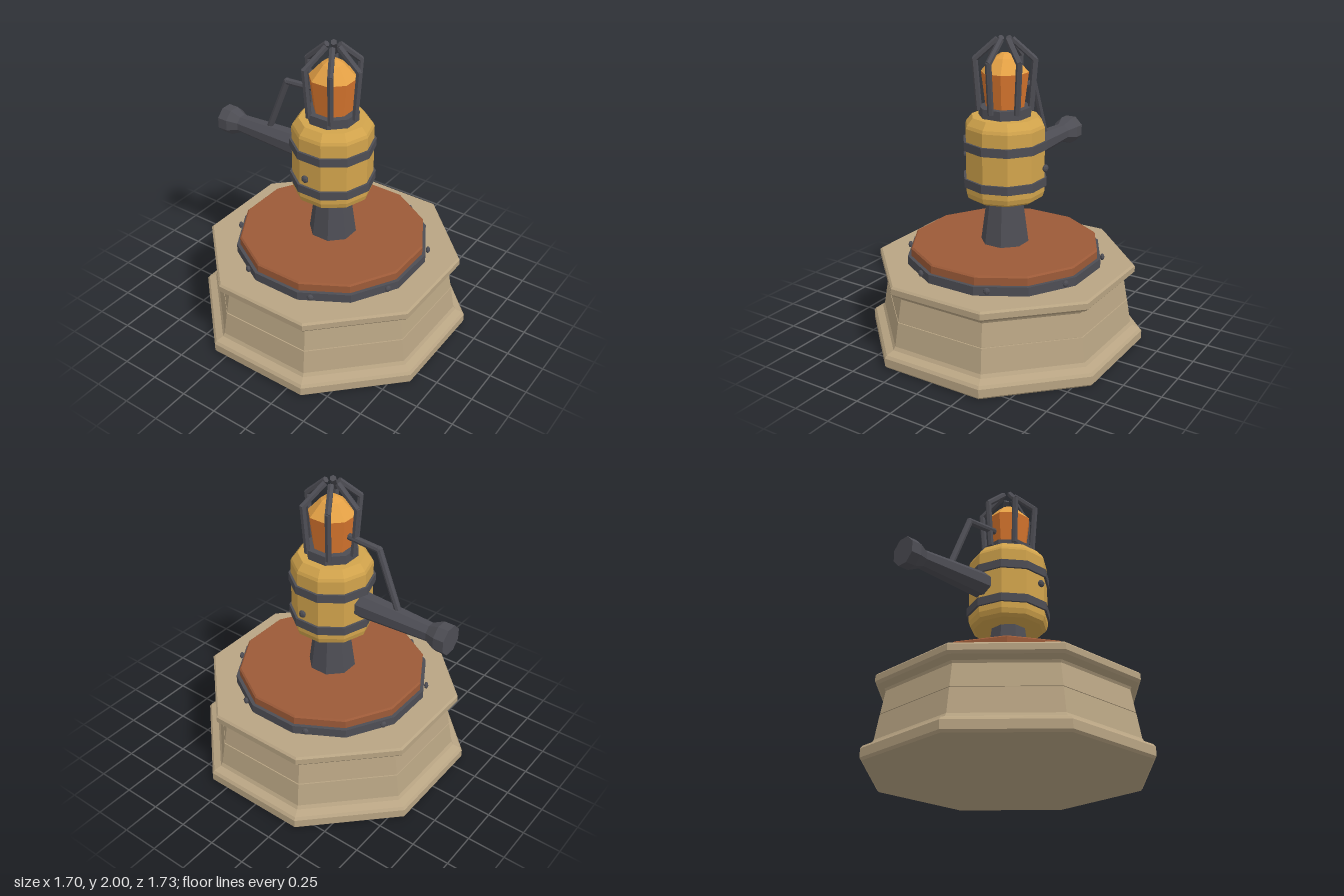
import * as THREE from 'three';

const makeMaterial = (name, color) => {
  const m = new THREE.MeshStandardMaterial({ color });
  m.name = name;
  return m;
};

export function createModel() {
  const stone = makeMaterial('stone', 0xb8a483);
  const clay = makeMaterial('clay', 0x9c5a38);
  const iron = makeMaterial('iron', 0x4d4d54);
  const brass = makeMaterial('brass', 0xd2a44c);
  const orange = makeMaterial('orangeGlass', 0xd8762e);
  const amber = makeMaterial('amber', 0xe3a045);

  const model = new THREE.Group();
  model.name = 'turretOnPlinth';
  const turret = new THREE.Group();
  turret.name = 'turret';
  turret.position.z = 0.015;
  model.add(turret);

  // Adds a mesh with one normal per facet
  function add(name, geometry, material) {
    const faceted = geometry.index ? geometry.toNonIndexed() : geometry;
    faceted.computeVertexNormals();
    const mesh = new THREE.Mesh(faceted, material);
    mesh.name = name;
    turret.add(mesh);
    return mesh;
  }

  // Closed polygonal solid from [radius, height] pairs, bottom to top.
  // With flats on, radii reach the flat sides and a flat faces the front.
  function turned(profile, sides, flats = true) {
    const k = flats ? 1 / Math.cos(Math.PI / sides) : 1;
    const points = profile.map(([r, y]) => new THREE.Vector2(r * k, y));
    points.unshift(new THREE.Vector2(0, profile[0][1]));
    points.push(new THREE.Vector2(0, profile[profile.length - 1][1]));
    return new THREE.LatheGeometry(points, sides, flats ? Math.PI / sides : 0);
  }

  // Straight bar between two points
  function bar(name, a, b, radius, sides = 6) {
    const dir = b.clone().sub(a);
    const g = new THREE.CylinderGeometry(radius, radius, dir.length(), sides);
    const mesh = add(name, g, iron);
    mesh.position.copy(a).add(b).multiplyScalar(0.5);
    mesh.quaternion.setFromUnitVectors(new THREE.Vector3(0, 1, 0), dir.normalize());
    return mesh;
  }

  // Rivet flattened along the direction it points outward
  function rivet(name, angle, radius, y, size) {
    const g = new THREE.SphereGeometry(size, 8, 6);
    g.scale(1, 1, 0.65);
    const mesh = add(name, g, iron);
    mesh.position.set(Math.sin(angle) * radius, y, Math.cos(angle) * radius);
    mesh.rotation.y = angle;
  }

  // Octagonal plinth with moulded foot, seam and cornice
  add('plinth', turned([
    [0.835, 0], [0.848, 0.015], [0.848, 0.07], [0.835, 0.088], [0.79, 0.108], [0.777, 0.13],
    [0.753, 0.287], [0.745, 0.287], [0.745, 0.293], [0.751, 0.293],
    [0.727, 0.44], [0.735, 0.455], [0.775, 0.475], [0.79, 0.492], [0.79, 0.53], [0.778, 0.542]
  ], 8), stone);

  // Turntable and its riveted rim
  add('turntableRim', turned([[0.62, 0.542], [0.62, 0.6]], 12), iron);
  add('turntable', turned([[0.598, 0.6], [0.598, 0.65], [0.588, 0.66]], 12), clay);
  for (let i = 0; i < 8; i++) {
    rivet('rimRivet', Math.PI / 8 + i * Math.PI / 4, 0.642, 0.58, 0.022);
  }

  // Tapered column
  add('column', turned([[0.145, 0.66], [0.105, 0.98]], 8), iron);

  // Ten-sided tank with two hoops and side rivets
  add('tank', turned([
    [0.225, 0.965], [0.25, 0.982], [0.26, 1.015], [0.26, 1.435], [0.252, 1.455], [0.215, 1.5]
  ], 10, false), brass);
  for (const y of [1.055, 1.295]) {
    add('hoop', turned([[0.275, y], [0.275, y + 0.055]], 10, false), iron);
  }
  for (const side of [1, -1]) {
    rivet('tankRivet', side * Math.PI / 2, 0.3, 1.2, 0.025);
  }

  // Collar and glowing core
  add('collar', turned([[0.155, 1.49], [0.155, 1.56]], 8), iron);
  add('core', turned([[0.113, 1.55], [0.14, 1.78]], 8), orange);
  add('coreCap', turned([[0.14, 1.78], [0.065, 1.868], [0.025, 1.895]], 8), amber);

  // Cage of six bent arms around the core
  for (let i = 0; i < 6; i++) {
    const angle = i * Math.PI / 3;
    const at = (r, y) => new THREE.Vector3(Math.sin(angle) * r, y, Math.cos(angle) * r);
    bar('cageArmLower', at(0.163, 1.535), at(0.188, 1.862), 0.02);
    bar('cageArmUpper', at(0.188, 1.855), at(0.045, 1.982), 0.02);
  }

  // Barrel with flared muzzle, pointing backward
  const barrel = turned([
    [0.08, 0.2], [0.08, 0.25], [0.057, 0.74], [0.088, 0.81], [0.088, 0.88]
  ], 8);
  barrel.rotateX(-Math.PI / 2);
  add('barrel', barrel, iron).position.y = 1.213;

  // Bent feed pipe from the cage to the barrel
  const pipe = [[1.657, -0.13], [1.643, -0.352], [1.255, -0.51]]
    .map(([y, z]) => new THREE.Vector3(0, y, z));
  bar('feedPipeUpper', pipe[0], pipe[1], 0.022, 8);
  bar('feedPipeLower', pipe[1], pipe[2], 0.022, 8);
  const elbow = add('feedPipeElbow', new THREE.SphereGeometry(0.023, 8, 6), iron);
  elbow.position.copy(pipe[1]);

  return model;
}
